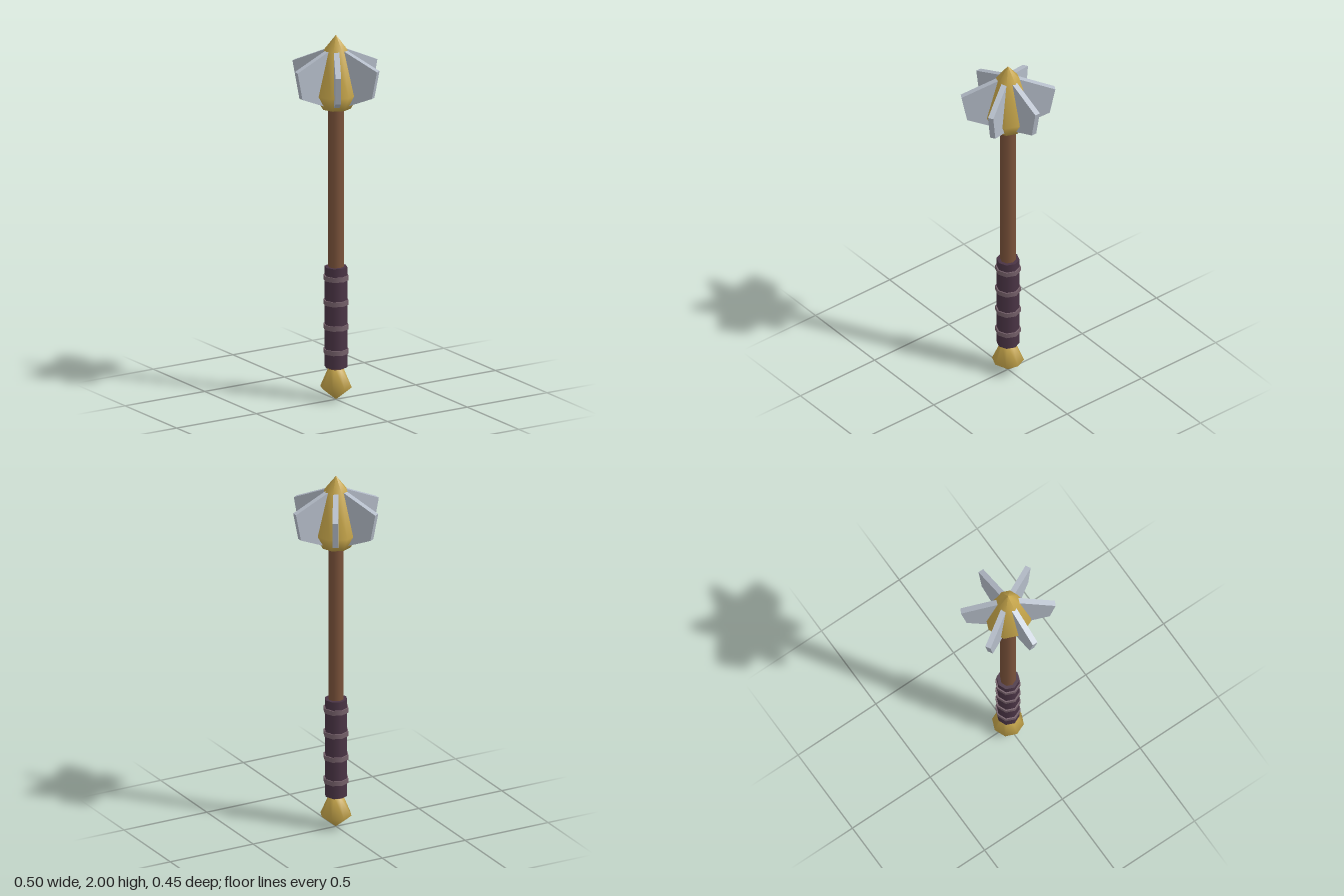
import * as THREE from 'three';

const mat = (name, color) => {
  const m = new THREE.MeshStandardMaterial({ color });
  m.name = name;
  return m;
};

export function createModel() {
  const gold = mat('gold', 0xc9a84c);
  const steel = mat('steel', 0xb4bcc8);
  const wood = mat('wood', 0x7a523a);
  const leather = mat('leather', 0x4a3445);
  const binding = mat('binding', 0x75606a);

  const model = new THREE.Group();
  model.name = 'mace';
  const SIDES = 8;

  const add = (name, geometry, material, parent = model) => {
    const mesh = new THREE.Mesh(geometry, material);
    mesh.name = name;
    parent.add(mesh);
    return mesh;
  };
  // Upright cylinder between two heights
  const rod = (name, radius, y0, y1, material, parent) => {
    const mesh = add(name, new THREE.CylinderGeometry(radius, radius, y1 - y0, SIDES), material, parent);
    mesh.position.y = (y0 + y1) / 2;
    return mesh;
  };
  // Turned part from [radius, height] pairs, bottom to top
  const turned = (name, profile, material) =>
    add(name, new THREE.LatheGeometry(profile.map(([r, y]) => new THREE.Vector2(r, y)), SIDES), material);

  // Handle
  turned('pommel', [[0, 0], [0.085, 0.07], [0.038, 0.18], [0, 0.19]], gold);
  rod('shaft', 0.042, 0.17, 1.62, wood);
  rod('grip', 0.061, 0.18, 0.73, leather);
  const bands = new THREE.Group();
  bands.name = 'gripBands';
  model.add(bands);
  for (let i = 0; i < 4; i++) {
    const y = 0.268 + i * 0.134;
    rod('gripBand', 0.068, y - 0.013, y + 0.013, binding, bands);
  }

  // Head core with pointed tip
  turned('headCore', [[0, 1.6], [0.08, 1.6], [0.125, 1.68], [0.062, 1.92], [0, 2]], gold);

  // Six flanges around the head
  const outline = [[0.03, 1.6], [0.22, 1.68], [0.25, 1.83], [0.03, 1.93]];
  const flangeGeometry = new THREE.ExtrudeGeometry(
    new THREE.Shape(outline.map(([x, y]) => new THREE.Vector2(x, y))),
    { depth: 0.03, bevelEnabled: false });
  flangeGeometry.translate(0, 0, -0.015);
  const flanges = new THREE.Group();
  flanges.name = 'flanges';
  model.add(flanges);
  for (let i = 0; i < 6; i++) {
    add('flange', flangeGeometry, steel, flanges).rotation.y = (i * Math.PI) / 3;
  }
  return model;
}
